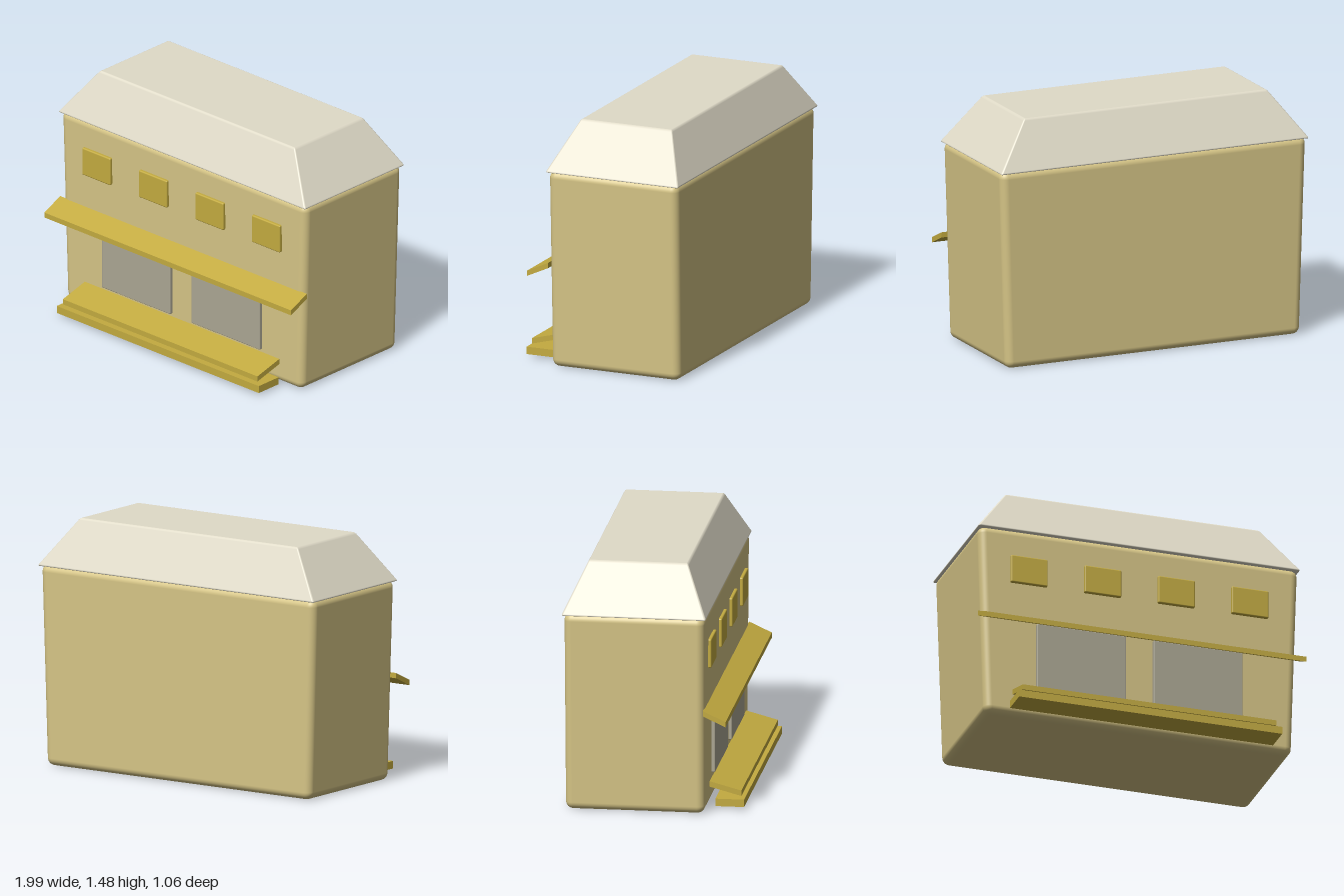
import * as THREE from 'three';
import { RoundedBoxGeometry } from 'three/addons/geometries/RoundedBoxGeometry.js';

const mat = (name, color) => new THREE.MeshStandardMaterial({ name, color });

// Rounded box whose top is scaled by (topX, topZ); normals follow the taper.
function taperedBox(w, h, d, radius, topX, topZ) {
  const g = new RoundedBoxGeometry(w, h, d, 5, radius);
  const p = g.attributes.position, n = g.attributes.normal;
  const v = new THREE.Vector3();
  const kx = (topX - 1) / h, kz = (topZ - 1) / h;
  for (let i = 0; i < p.count; i++) {
    const x = p.getX(i), y = p.getY(i), z = p.getZ(i);
    const sx = 1 + kx * (y + h / 2), sz = 1 + kz * (y + h / 2);
    const nx = n.getX(i), nz = n.getZ(i);
    p.setXYZ(i, x * sx, y, z * sz);
    v.set(nx / sx, n.getY(i) - nx * x * kx / sx - nz * z * kz / sz, nz / sz).normalize();
    n.setXYZ(i, v.x, v.y, v.z);
  }
  return g;
}

// Straight bar along x from a (z, y) outline.
function bar(points, width) {
  const shape = new THREE.Shape(points.map(([z, y]) => new THREE.Vector2(z, y)));
  const g = new THREE.ExtrudeGeometry(shape, { depth: width, bevelEnabled: false });
  return g.translate(0, 0, -width / 2).rotateY(-Math.PI / 2);
}

export function createModel() {
  const group = new THREE.Group();
  group.name = 'shopHouse';
  const wall = mat('sandWall', 0xd6c586);
  const roofing = mat('paleRoof', 0xe0dbc8);
  const gold = mat('goldTrim', 0xc3ab40);
  const glass = mat('greyPane', 0xaca794);

  const add = (name, geometry, material, x = 0, y = 0, z = 0) => {
    const mesh = new THREE.Mesh(geometry, material);
    mesh.name = name;
    mesh.position.set(x, y, z);
    group.add(mesh);
  };

  // Main body, slightly narrower at the foot
  add('body', taperedBox(1.904, 1.2, 0.824, 0.045, 1.04, 1.01), wall, 0, 0.6, -0.1);

  // Hipped roof with a flat top
  add('roof', taperedBox(2, 0.29, 0.86, 0.012, 0.785, 0.68), roofing, 0, 1.335, -0.1);

  // Upper windows
  for (const x of [-0.684, -0.228, 0.228, 0.684]) {
    add('upperWindow', new RoundedBoxGeometry(0.228, 0.174, 0.04, 3, 0.008), gold, x, 0.938, 0.314);
  }

  // Shop panes, their tops tucked behind the awning
  for (const x of [-0.361, 0.361]) {
    add('shopPane', new RoundedBoxGeometry(0.552, 0.43, 0.04, 3, 0.006), glass, x, 0.387, 0.314);
  }

  // Sloping awning and lower ledge
  add('awning', bar([[0.31, 0.61], [0.445, 0.548], [0.445, 0.58], [0.31, 0.642]], 1.99), gold);
  add('lowerLedge', bar([[0.322, 0.125], [0.51, 0.075], [0.51, 0.108], [0.322, 0.158]], 1.57), gold);

  // Front step
  add('frontStep', new THREE.BoxGeometry(1.63, 0.045, 0.17), gold, 0, 0.039, 0.445);

  return group;
}
